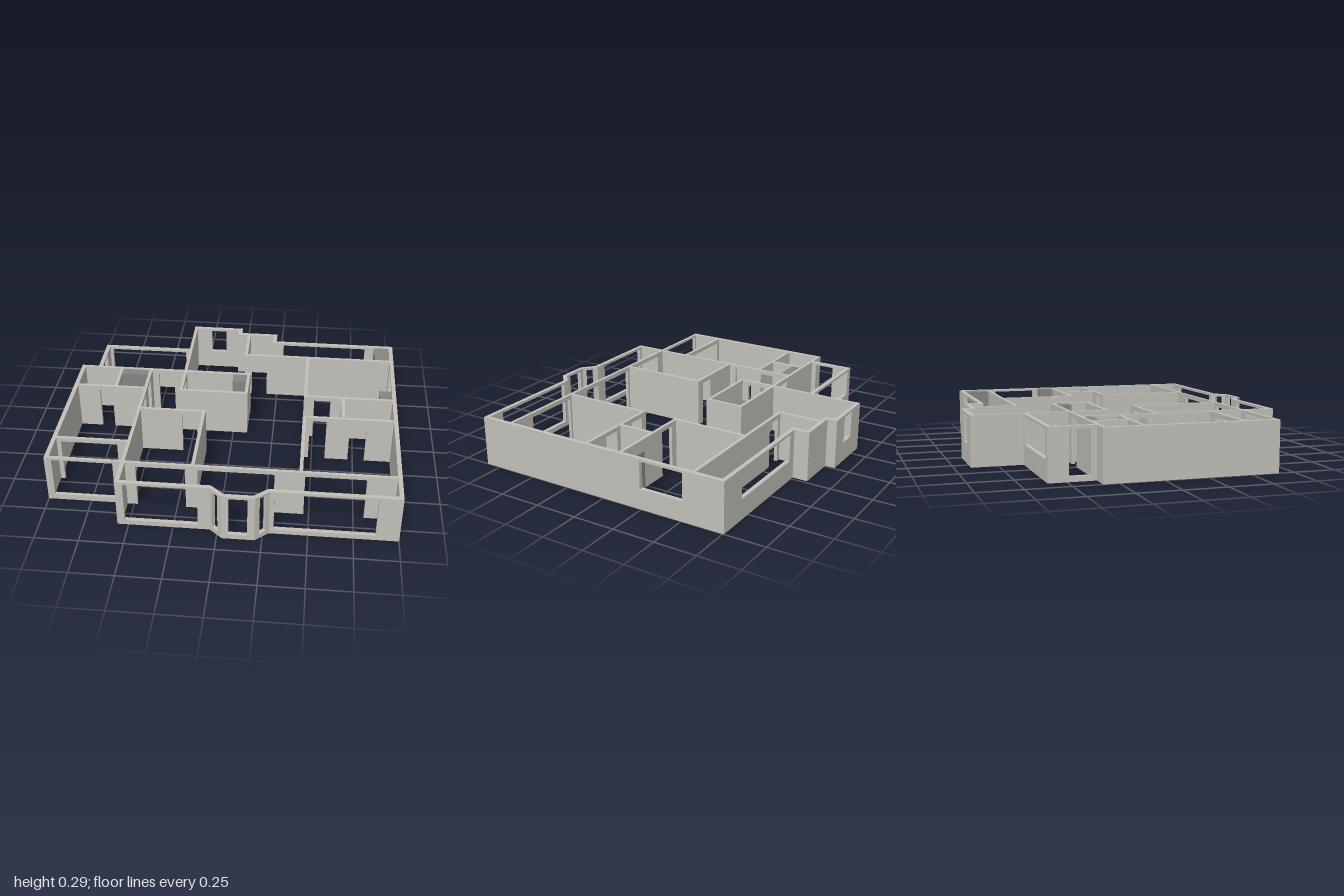
import * as THREE from 'three';

const H = 0.295;          // wall height
const OUT = 0.025;        // outer wall thickness
const IN = 0.02;          // partition thickness

export function createModel() {
  const model = new THREE.Group();
  model.name = 'floorPlan';
  const plaster = new THREE.MeshStandardMaterial({ color: 0xc2c0b9 });
  plaster.name = 'plaster';
  const shaftGrey = new THREE.MeshStandardMaterial({ color: 0x868583 });
  shaftGrey.name = 'shaftGrey';

  // Wall between two plan points; openings are [start, end, sill, head] along its length
  function wall(name, x0, z0, x1, z1, t, openings = []) {
    const g = new THREE.Group();
    g.name = name;
    g.position.set(x0, 0, z0);
    g.rotation.y = -Math.atan2(z1 - z0, x1 - x0);
    const length = Math.hypot(x1 - x0, z1 - z0);
    const block = (part, a, b, y0, y1) => {
      if (b - a < 0.001 || y1 - y0 < 0.001) return;
      const m = new THREE.Mesh(new THREE.BoxGeometry(b - a, y1 - y0, t), plaster);
      m.name = part;
      m.position.set((a + b) / 2, (y0 + y1) / 2, 0);
      g.add(m);
    };
    let at = 0;
    for (const [a, b, sill, head] of openings) {
      block('pier', at, a, 0, H);
      block('sill', a, b, 0, sill);
      block('lintel', a, b, head, H);
      at = b;
    }
    block('pier', at, length, 0, H);
    model.add(g);
  }
  // Walls along x or z, with openings in plan coordinates
  const shift = (ops, s) => ops.map(([a, b, y0, y1]) => [a - s, b - s, y0, y1]);
  const alongX = (name, z, x0, x1, t, ops = []) => wall(name, x0, z, x1, z, t, shift(ops, x0));
  const alongZ = (name, x, z0, z1, t, ops = []) => wall(name, x, z0, x, z1, t, shift(ops, z0));
  const door = (a, b) => [a, b, 0, 0.27];
  const tall = (a, b) => [a, b, 0.03, 0.28];
  const win = (a, b) => [a, b, 0.12, 0.28];

  // Outer walls, back
  alongX('backWall', -0.895, -0.34, -0.01, OUT, [win(-0.22, -0.12)]);
  alongZ('backStepWall', -0.022, -0.907, -0.83, OUT);
  alongX('backMiddleWall', -0.836, -0.034, 0.23, OUT);
  alongZ('backStepWall', 0.218, -0.848, -0.735, OUT);
  alongX('backBalconyWall', -0.745, 0.206, 1, OUT, [win(0.28, 0.82)]);
  alongX('backBedroomWall', -0.593, -0.893, -0.327, OUT, [win(-0.85, -0.36)]);
  alongZ('bedroomSideWall', -0.881, -0.605, -0.32, OUT, [tall(-0.49, -0.37)]);

  // Outer walls, sides
  alongZ('leftWall', 0.988, -0.757, 0.84, OUT, [win(-0.51, -0.245)]);
  alongZ('rightWall', -0.988, -0.34, 0.66, OUT);
  alongZ('balconySideWall', -0.551, 0.65, 0.84, OUT);

  // Outer walls, front with bay
  alongX('frontRightWall', 0.648, -1, -0.54, IN, [[-0.96, -0.61, 0.035, 0.28]]);
  alongX('balconyFrontWall', 0.828, -0.563, -0.037, OUT, [tall(-0.52, -0.11)]);
  alongX('balconyFrontWall', 0.828, 0.277, 1, OUT, [tall(0.31, 0.87)]);
  alongX('bayFront', 0.893, 0.03, 0.21, OUT, [tall(0.065, 0.17)]);
  wall('baySide', -0.044, 0.825, 0.038, 0.896, OUT, [tall(0.03, 0.075)]);
  wall('baySide', 0.202, 0.896, 0.284, 0.825, OUT, [tall(0.033, 0.078)]);

  // Wall between rooms and front balcony
  alongX('balconyRoomWall', 0.65, -0.55, 0.98, IN,
    [door(-0.48, -0.2), door(-0.13, 0.3), door(0.47, 0.81)]);

  // Partitions on the right side
  alongX('crossWall', -0.33, -1, 0.09, IN, [door(-0.5, -0.4)]);
  alongX('bathWall', -0.11, -0.98, -0.55, IN, [door(-0.84, -0.76)]);
  alongZ('bathDivider', -0.738, -0.33, -0.11, IN);
  alongZ('hallWall', -0.551, -0.33, 0.65, IN, [door(-0.24, -0.13), door(-0.06, 0.06)]);
  alongX('rightLoggiaWall', 0.455, -0.98, -0.55, IN, [door(-0.95, -0.62)]);
  alongX('frontRoomBack', 0.113, -0.55, -0.147, IN, [door(-0.29, -0.2)]);
  alongZ('frontRoomSide', -0.157, 0.113, 0.65, IN);

  // Partitions in the middle
  alongZ('middleWall', -0.328, -0.895, -0.1, IN, [door(-0.27, -0.16)]);
  alongX('middleRoomFront', -0.11, -0.328, 0.088, IN);
  alongZ('middleRoomSide', 0.078, -0.33, -0.1, IN);

  // Partitions on the left side
  alongZ('backBalconySide', 0.042, -0.836, -0.56, IN);
  alongX('backBalconyRoomWall', -0.568, 0.034, 0.98, IN, [door(0.08, 0.18)]);
  alongZ('backRoomSide', 0.446, -0.568, -0.1, IN);
  alongX('backRoomFront', -0.11, 0.437, 0.98, IN, [door(0.5, 0.6)]);
  alongZ('closetWall', 0.677, -0.11, 0.113, IN);
  alongX('leftRoomBack', 0.113, 0.437, 0.98, IN, [door(0.48, 0.58), door(0.72, 0.82)]);
  alongZ('leftRoomSide', 0.446, 0.113, 0.65, IN);

  // Service shafts: x0, x1, z0, z1
  const shafts = [
    [0.88, 0.977, -0.735, -0.577], [0.902, 0.977, -0.212, -0.119],
    [-0.729, -0.56, -0.321, -0.264], [-0.018, 0.069, -0.321, -0.234],
  ];
  for (const [x0, x1, z0, z1] of shafts) {
    const m = new THREE.Mesh(new THREE.BoxGeometry(x1 - x0, H - 0.003, z1 - z0), shaftGrey);
    m.name = 'serviceShaft';
    m.position.set((x0 + x1) / 2, (H - 0.003) / 2, (z0 + z1) / 2);
    model.add(m);
  }
  return model;
}
